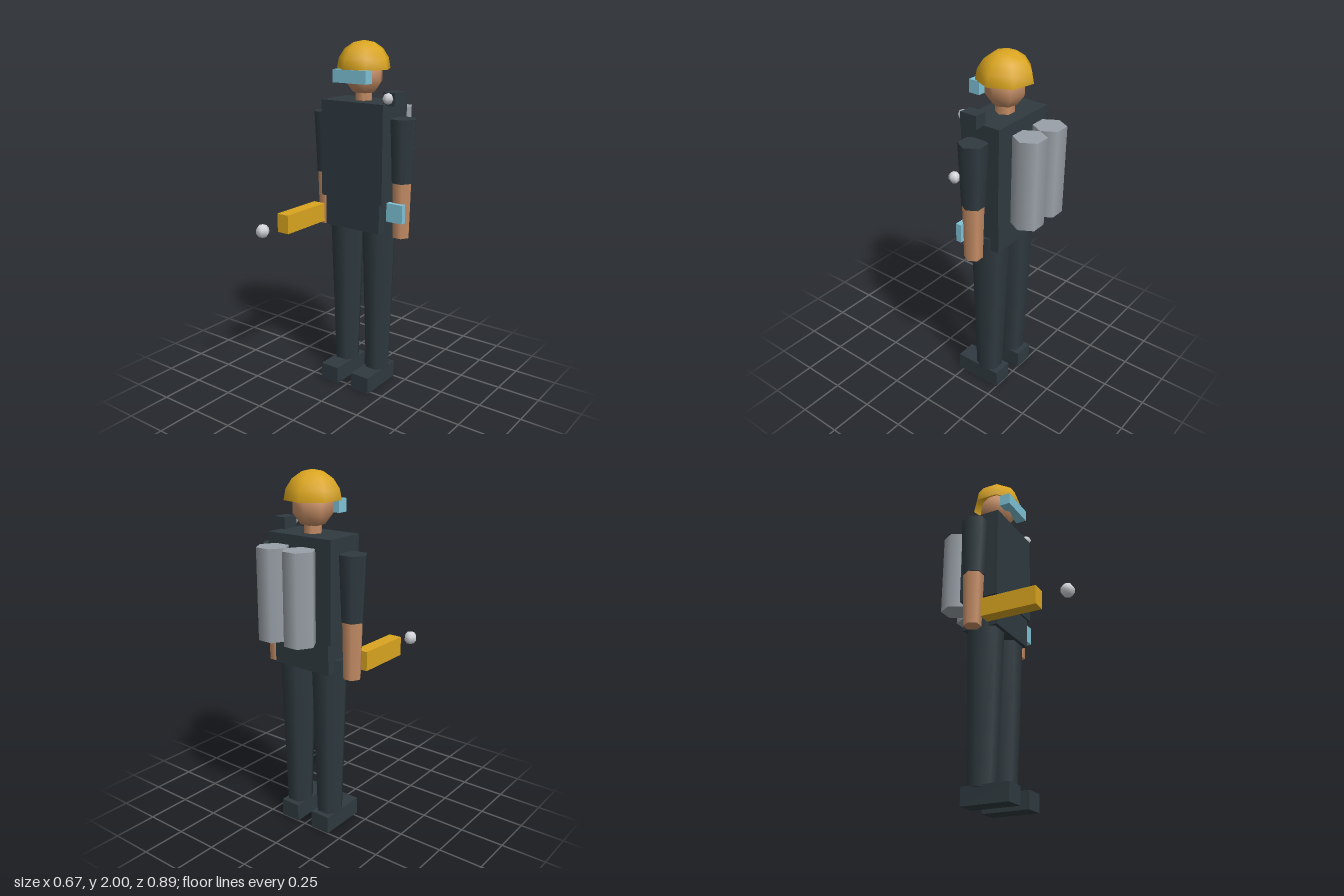
import * as THREE from 'three';

export function createModel() {
  const model = new THREE.Group();
  model.name = 'worker';

  const material = (name, color, side = THREE.FrontSide) => {
    const m = new THREE.MeshStandardMaterial({ color, side });
    m.name = name;
    return m;
  };
  const dark = material('dark cloth', 0x2f3a40);
  const skin = material('skin', 0xc68e66);
  const yellow = material('safety yellow', 0xdaa520, THREE.DoubleSide);
  const blue = material('glass blue', 0x7fc4d8);
  const steel = material('tank grey', 0x9aa1a8);
  const pale = material('lamp white', 0xd4d6dc);

  const MID = -0.154; // depth of the body's centre line

  const add = (name, geometry, mat, x, y, z) => {
    const mesh = new THREE.Mesh(geometry, mat);
    mesh.name = name;
    mesh.position.set(x, y, z);
    model.add(mesh);
    return mesh;
  };
  // Box given by its extents on each axis
  const box = (name, mat, [x0, x1], [y0, y1], [z0, z1]) =>
    add(name, new THREE.BoxGeometry(x1 - x0, y1 - y0, z1 - z0), mat,
      (x0 + x1) / 2, (y0 + y1) / 2, (z0 + z1) / 2);
  // Six-sided tapered tube with corners pointing sideways
  const tube = (name, mat, rTop, rBottom, [y0, y1], x, z = MID) =>
    add(name, new THREE.CylinderGeometry(rTop, rBottom, y1 - y0, 6, 1, false, Math.PI / 6),
      mat, x, (y0 + y1) / 2, z);
  // Coarse ball with one corner on +x
  const ball = (name, mat, r, sides, rings, x, y, z) =>
    add(name, new THREE.SphereGeometry(r, sides, rings, Math.PI), mat, x, y, z);

  // Trunk
  box('torso', dark, [-0.205, 0.205], [1.135, 1.68], [-0.272, -0.035]);
  box('hips', dark, [-0.182, 0.182], [0.962, 1.137], [-0.26, -0.045]);

  // Limbs and air tanks, mirrored
  for (const [side, s] of [['left', 1], ['right', -1]]) {
    tube(side + 'Leg', dark, 0.105, 0.075, [0.09, 1.03], s * 0.11);
    const foot = [s * 0.05, s * 0.168].sort((a, b) => a - b);
    box(side + 'Foot', dark, foot, [0, 0.1], [-0.25, 0.03]);
    tube(side + 'Sleeve', dark, 0.077, 0.062, [1.25, 1.6], s * 0.258);
    tube(side + 'Forearm', skin, 0.058, 0.05, [0.938, 1.252], s * 0.258);
    tube(side + 'Tank', steel, 0.0865, 0.0865, [1.145, 1.632], s * 0.0865, -0.371);
  }

  // Head, open helmet and goggles
  tube('neck', skin, 0.05, 0.05, [1.66, 1.75], 0);
  ball('head', skin, 0.11, 7, 5, 0, 1.815, MID);
  add('helmet', new THREE.SphereGeometry(0.151, 7, 4, Math.PI, Math.PI * 2, 0, Math.PI / 2),
    yellow, 0, 1.849, MID);
  box('goggles', blue, [-0.108, 0.108], [1.78, 1.85], [-0.075, -0.012]);

  // Shoulder lamp and wrist display
  box('lampBody', dark, [0.18, 0.254], [1.67, 1.742], [-0.17, -0.073]);
  ball('lampBulb', pale, 0.031, 5, 4, 0.218, 1.71, -0.066);
  box('wristDisplay', blue, [0.207, 0.309], [1.035, 1.14], [-0.112, -0.08]);

  // Hand tool and the ball in front of it
  box('handTool', yellow, [-0.3, -0.224], [0.963, 1.07], [-0.08, 0.248]);
  ball('toolTip', pale, 0.039, 6, 5, -0.262, 1.016, 0.411);

  return model;
}
